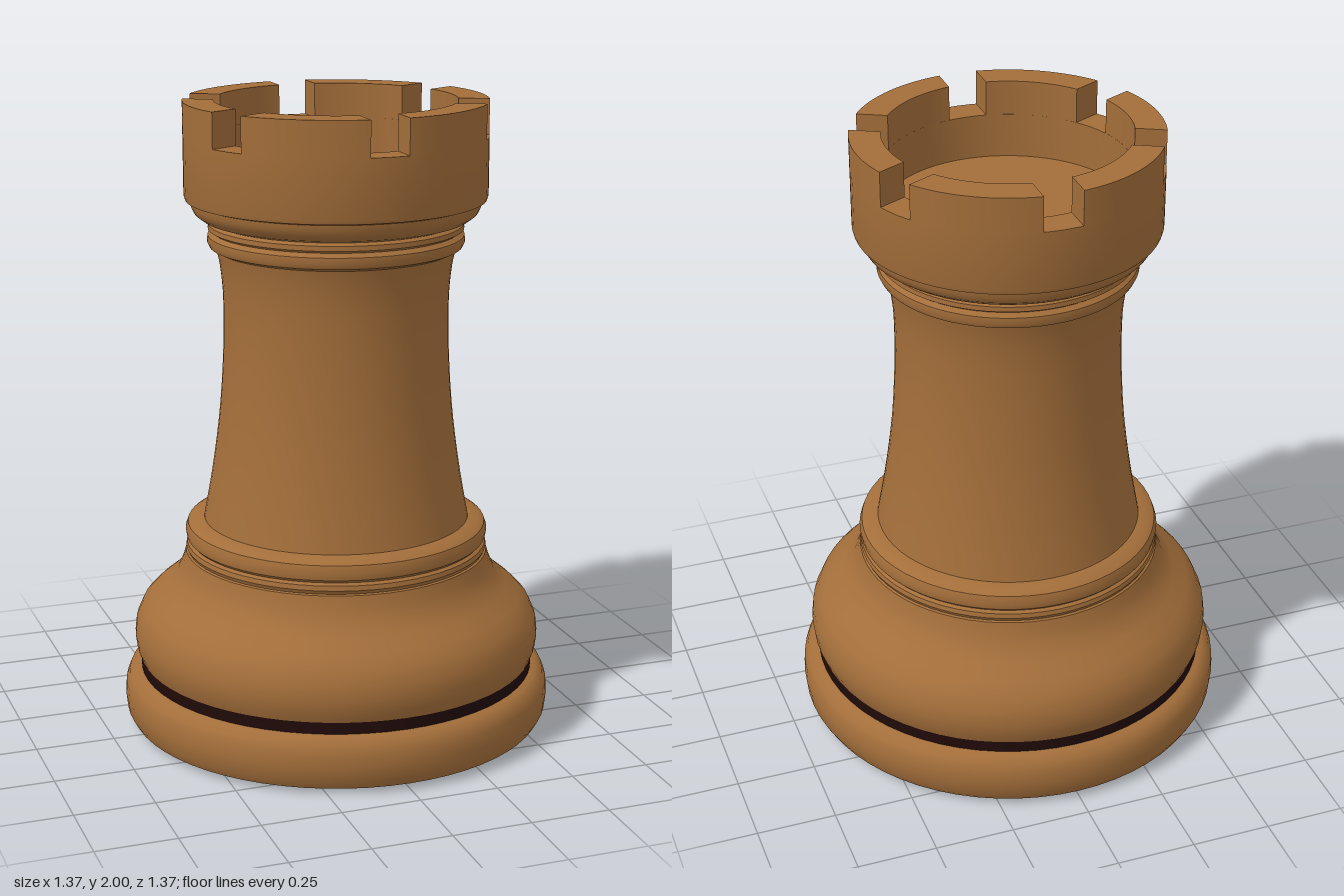
import * as THREE from 'three';
import { toCreasedNormals } from 'three/addons/utils/BufferGeometryUtils.js';

const SEGMENTS = 64;
const CROWN_OUTER = 0.47, CROWN_INNER = 0.375;
const NOTCH_Y = 1.89, TOP_Y = 2, NOTCH_HALF = 0.06;

export function createModel() {
  const wood = new THREE.MeshStandardMaterial({ color: 0xa36e3a });
  wood.name = 'wood';
  const dark = new THREE.MeshStandardMaterial({ color: 0x200a09 });
  dark.name = 'dark band';

  const group = new THREE.Group();
  group.name = 'rook';

  const add = (name, geometry, material = wood) => {
    const mesh = new THREE.Mesh(toCreasedNormals(geometry, 0.6), material);
    mesh.name = name;
    group.add(mesh);
  };
  // Turned part: [radius, height] pairs, listed from bottom to top
  const turn = (name, profile, material) =>
    add(name, new THREE.LatheGeometry(profile.map(([r, y]) => new THREE.Vector2(r, y)), SEGMENTS), material);

  turn('foot', [[0, 0], [0.63, 0.005], [0.665, 0.018], [0.68, 0.045], [0.685, 0.09],
    [0.682, 0.13], [0.67, 0.16], [0.65, 0.175], [0.632, 0.18]]);
  turn('band', [[0.632, 0.18], [0.632, 0.217]], dark);
  turn('pedestal', [[0.632, 0.217], [0.645, 0.25], [0.65, 0.29], [0.645, 0.335], [0.625, 0.38],
    [0.59, 0.417], [0.545, 0.453], [0.51, 0.49], [0.492, 0.53], [0.482, 0.565]]);
  turn('lowerCollar', [[0.482, 0.565], [0.475, 0.568], [0.481, 0.58], [0.478, 0.595], [0.468, 0.602],
    [0.478, 0.612], [0.482, 0.635], [0.474, 0.658], [0.455, 0.671], [0.422, 0.675]]);

  // Waisted shaft through a smooth curve
  const shaft = new THREE.SplineCurve([[0.422, 0.675], [0.392, 0.84], [0.367, 1.03], [0.354, 1.22],
    [0.352, 1.38], [0.36, 1.48], [0.372, 1.54]].map(([r, y]) => new THREE.Vector2(r, y)));
  turn('shaft', shaft.getPoints(20).map((p) => [p.x, p.y]));

  turn('upperCollar', [[0.372, 1.54], [0.393, 1.55], [0.4, 1.565], [0.398, 1.585], [0.385, 1.597],
    [0.397, 1.605], [0.396, 1.62], [0.385, 1.628], [0.415, 1.638], [0.438, 1.655],
    [0.448, 1.675], [0.45, 1.692]]);

  // Hollow crown up to the bottom of the notches, with a sunken floor
  turn('crown', [[0.45, 1.692], [0.466, 1.697], [CROWN_OUTER, 1.71], [CROWN_OUTER, NOTCH_Y],
    [CROWN_INNER, NOTCH_Y], [CROWN_INNER, 1.75], [0, 1.75]]);

  // Battlements between parallel-sided notches
  const notches = [27, 90, 153, 207, 270, 333, 387].map(THREE.MathUtils.degToRad);
  const outerGap = Math.asin(NOTCH_HALF / CROWN_OUTER);
  const innerGap = Math.asin(NOTCH_HALF / CROWN_INNER);
  for (let i = 0; i < 6; i++) {
    const a = notches[i], b = notches[i + 1];
    const shape = new THREE.Shape();
    shape.absarc(0, 0, CROWN_OUTER, a + outerGap, b - outerGap, false);
    shape.absarc(0, 0, CROWN_INNER, b - innerGap, a + innerGap, true);
    shape.closePath();
    const merlon = new THREE.ExtrudeGeometry(shape,
      { depth: TOP_Y - NOTCH_Y, bevelEnabled: false, curveSegments: 12 });
    merlon.rotateX(-Math.PI / 2).translate(0, NOTCH_Y, 0);
    add('battlement' + (i + 1), merlon);
  }

  return group;
}
